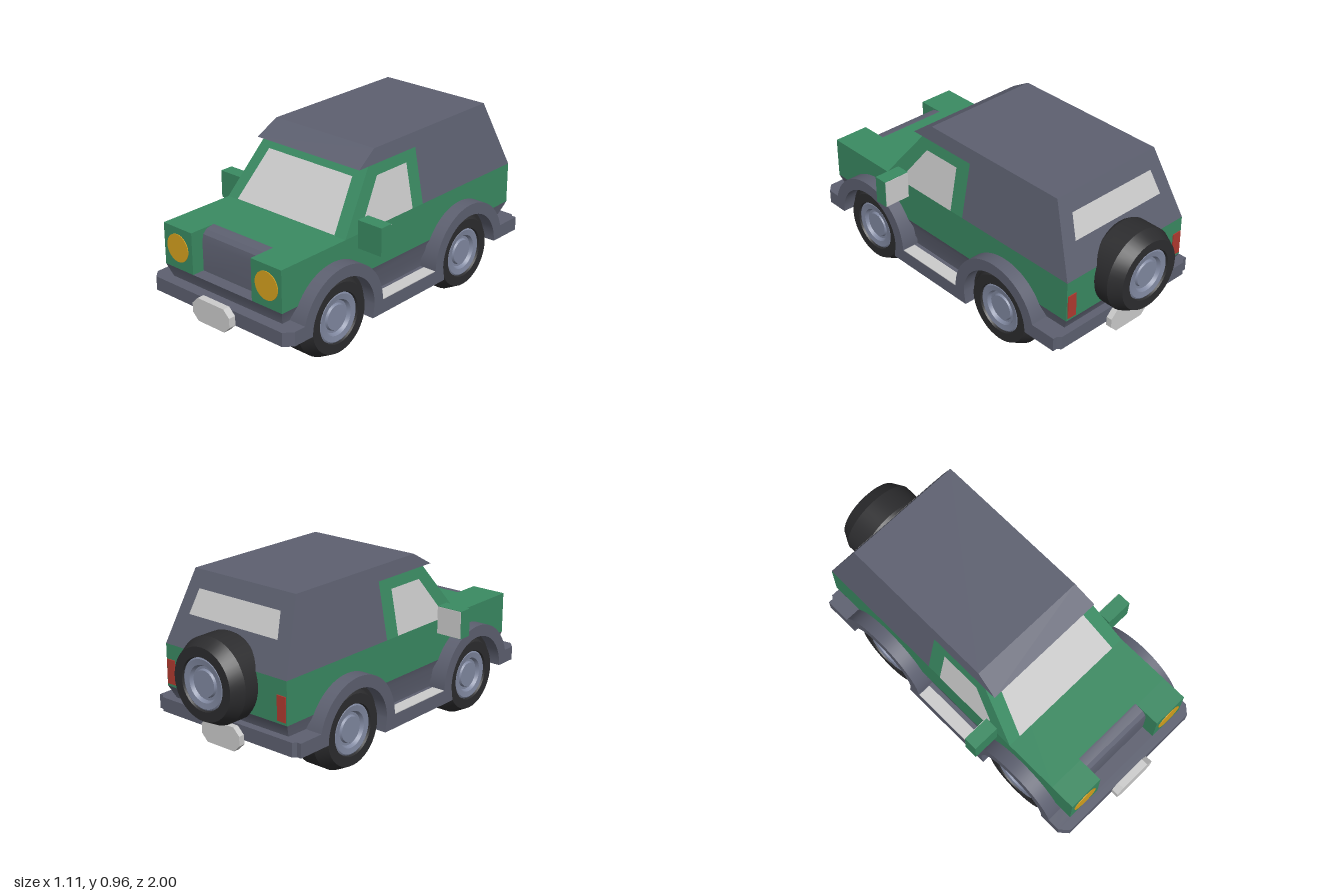
import * as THREE from 'three';
import { toCreasedNormals } from 'three/addons/utils/BufferGeometryUtils.js';

const mat = (color, side = THREE.FrontSide) => new THREE.MeshStandardMaterial({ color, side });
const GREEN = mat(0x3a8a62), DARK = mat(0x5d6070), TYRE = mat(0x2c2c2e), RIM = mat(0x8088a0);
const LIGHT = mat(0xcccccc), GLASS = mat(0xcccccc, THREE.DoubleSide);
const AMBER = mat(0xd6a11e), RED = mat(0xb03a30);

// Half width of the tapering cabin at height y
const cabinHalf = (y) => 0.405 - Math.max(0, y - 0.595) * 0.195;

export function createModel() {
  const root = new THREE.Group();

  const add = (name, geometry, material, parent = root) => {
    const mesh = new THREE.Mesh(geometry, material);
    mesh.name = name;
    parent.add(mesh);
    return mesh;
  };
  const box = (name, material, x0, x1, y0, y1, z0, z1) => {
    const mesh = add(name, new THREE.BoxGeometry(x1 - x0, y1 - y0, z1 - z0), material);
    mesh.position.set((x0 + x1) / 2, (y0 + y1) / 2, (z0 + z1) / 2);
    return mesh;
  };
  const toShape = (pts) => new THREE.Shape(pts.map(([a, b]) => new THREE.Vector2(a, b)));

  // Side profile in (z, y), extruded across x with a half width depending on y
  const across = (name, shape, material, half) => {
    const g = new THREE.ExtrudeGeometry(shape, { depth: 1, bevelEnabled: false, curveSegments: 24 });
    g.rotateY(-Math.PI / 2).translate(0.5, 0, 0);
    const p = g.attributes.position;
    for (let i = 0; i < p.count; i++) p.setX(i, p.getX(i) * 2 * half(p.getY(i)));
    g.computeVertexNormals();
    return add(name, toCreasedNormals(g, 0.5), material);
  };

  // Thin flat polygon laid on a surface
  const panel = (name, pts, material) => {
    const g = new THREE.BufferGeometry();
    g.setAttribute('position', new THREE.Float32BufferAttribute(pts.flat(), 3));
    const index = [];
    for (let i = 1; i < pts.length - 1; i++) index.push(0, i, i + 1);
    g.setIndex(index);
    g.computeVertexNormals();
    return add(name, g, material);
  };

  // Main body, front wings and grille
  box('body', GREEN, -0.405, 0.405, 0.37, 0.595, -0.85, 0.78);
  for (const s of [-1, 1]) {
    const wing = box('frontWing', GREEN, -0.1, 0.1, 0.37, 0.595, 0.78, 0.92);
    wing.position.x = s * 0.305;
  }
  across('grille', toShape([[0.77, 0.37], [0.85, 0.37], [0.85, 0.53], [0.842, 0.565], [0.822, 0.586], [0.78, 0.595], [0.77, 0.595]]),
    DARK, () => 0.205);

  // Cab and hard top
  across('cab', toShape([[0.48, 0.595], [0.25, 0.89], [-0.11, 0.89], [-0.11, 0.595]]), GREEN, cabinHalf);
  across('hardTop', toShape([[0.315, 0.89], [0.19, 0.965], [-0.7, 0.965], [-0.85, 0.595], [-0.11, 0.595], [-0.11, 0.89]]),
    DARK, cabinHalf);

  // Windows
  const screen = (x, y) => [x, y + 0.003, 0.483 - (y - 0.595) * 0.78];
  panel('windscreen', [screen(-0.335, 0.597), screen(0.335, 0.597), screen(0.285, 0.835), screen(-0.285, 0.835)], GLASS);
  const rear = (x, y) => [x, y, -0.854 + (y - 0.595) * 0.4054];
  panel('rearWindow', [rear(0.295, 0.755), rear(-0.295, 0.755), rear(-0.27, 0.88), rear(0.27, 0.88)], GLASS);
  const sideWindow = [[0.32, 0.597], [0.33, 0.66], [0.2, 0.835], [-0.025, 0.835], [-0.025, 0.597]];
  for (const s of [-1, 1]) {
    const pts = sideWindow.map(([z, y]) => [s * (cabinHalf(y) + 0.003), y, z]);
    panel('sideWindow', s > 0 ? pts.reverse() : pts, GLASS);
  }

  // Lower skirt and floor pan
  across('skirt', toShape([[0.92, 0.37], [0.895, 0.3], [0.895, 0.225], [-0.815, 0.225], [-0.815, 0.3], [-0.85, 0.37]]),
    DARK, (y) => (y > 0.36 ? 0.405 : 0.38));
  box('floorPan', DARK, -0.3, 0.3, 0.15, 0.23, -0.64, 0.79);
  box('floorCentre', DARK, -0.4, 0.4, 0.15, 0.225, -0.205, 0.355);

  // Wheel arches and sill as one profile per side
  const axle = 0.225, frontZ = 0.57, rearZ = -0.42, arch = 0.285, hole = 0.222;
  const a0 = Math.asin(0.075 / arch);
  const trim = new THREE.Shape();
  trim.moveTo(0.9, axle);
  trim.lineTo(0.9, 0.3);
  trim.absarc(frontZ, axle, arch, a0, Math.PI, false);
  trim.absarc(rearZ, axle, arch, 0, Math.PI - a0, false);
  trim.lineTo(-0.84, 0.3);
  trim.lineTo(-0.84, axle);
  trim.absarc(rearZ, axle, hole, Math.PI, 0, true);
  trim.lineTo(-0.21, 0.15);
  trim.lineTo(0.36, 0.15);
  trim.absarc(frontZ, axle, hole, Math.PI, 0, true);
  for (const s of [-1, 1]) {
    across('archTrim', trim, DARK, () => 0.05).position.x = s * 0.43;
    const step = box('sideStep', LIGHT, -0.037, 0.037, 0.222, 0.229, -0.13, 0.28);
    step.position.x = s * 0.442;
    for (const z of [frontZ, rearZ]) {
      const liner = add('archLiner', new THREE.CylinderGeometry(0.23, 0.23, 0.06, 32, 1, false, 0, Math.PI), TYRE);
      liner.rotation.z = Math.PI / 2;
      liner.position.set(s * 0.378, axle, z);
    }
  }

  // Bumpers with cut corners
  const bumper = (name, inner, outer) => {
    const c = outer - Math.sign(outer) * 0.045;
    const shape = toShape([[-0.48, inner], [-0.48, c], [-0.44, outer], [0.44, outer], [0.48, c], [0.48, inner]]);
    const g = new THREE.ExtrudeGeometry(shape, { depth: 0.075, bevelEnabled: false });
    add(name, g.rotateX(Math.PI / 2).scale(1, 1, 1).translate(0, 0.3, 0), DARK);
  };
  bumper('frontBumper', 0.83, 0.96);
  bumper('rearBumper', -0.7, -0.858);

  // Blank plates
  const plateShape = toShape([[-0.09, -0.0625], [0.09, -0.0625], [0.128, -0.025], [0.128, 0.025],
    [0.09, 0.0625], [-0.09, 0.0625], [-0.128, 0.025], [-0.128, -0.025]]);
  for (const [name, y, z] of [['frontPlate', 0.252, 0.96], ['rearPlate', 0.228, -0.89]]) {
    const g = new THREE.ExtrudeGeometry(plateShape, { depth: z > 0 ? 0.04 : 0.035, bevelEnabled: false });
    add(name, g, LIGHT).position.set(0, y, z);
  }

  // Lamps and door mirrors
  for (const s of [-1, 1]) {
    const lamp = add('headlight', new THREE.CylinderGeometry(0.075, 0.075, 0.01, 32), AMBER);
    lamp.rotation.x = Math.PI / 2;
    lamp.position.set(s * 0.307, 0.485, 0.919);
    const tail = box('tailLight', RED, -0.027, 0.027, 0.385, 0.515, -0.855, -0.84);
    tail.position.x = s * 0.372;
    const mirror = box('mirror', GREEN, -0.075, 0.075, 0.52, 0.67, 0.313, 0.388);
    mirror.position.x = s * 0.478;
    const glass = box('mirrorGlass', LIGHT, -0.073, 0.073, 0.522, 0.668, 0.31, 0.314);
    glass.position.x = s * 0.478;
  }

  // Wheels: lathed tyre and stepped rim, outer face toward +y
  const lathe = (pts) => toCreasedNormals(
    new THREE.LatheGeometry(pts.map(([r, h]) => new THREE.Vector2(r, h)), 40), 0.4);
  const tyreGeo = lathe([[0, -0.1275], [0.187, -0.1275], [0.222, -0.06], [0.222, 0.06],
    [0.187, 0.1275], [0.137, 0.1275], [0.13, 0.11]]);
  const rimGeo = lathe([[0.135, 0.115], [0.125, 0.122], [0.095, 0.118], [0.085, 0.1],
    [0.072, 0.1], [0.066, 0.112], [0, 0.112]]);
  const wheel = (name, x, y, z, rx, rz) => {
    const group = new THREE.Group();
    group.name = name;
    add('tyre', tyreGeo, TYRE, group);
    add('rim', rimGeo, RIM, group);
    group.position.set(x, y, z);
    group.rotation.set(rx, 0, rz);
    root.add(group);
  };
  for (const s of [-1, 1]) {
    wheel('frontWheel', s * 0.3175, 0.222, frontZ, 0, -s * Math.PI / 2);
    wheel('rearWheel', s * 0.3175, 0.222, rearZ, 0, -s * Math.PI / 2);
  }
  wheel('spareWheel', 0, 0.52, -0.8725, -Math.PI / 2, 0);

  return root;
}
